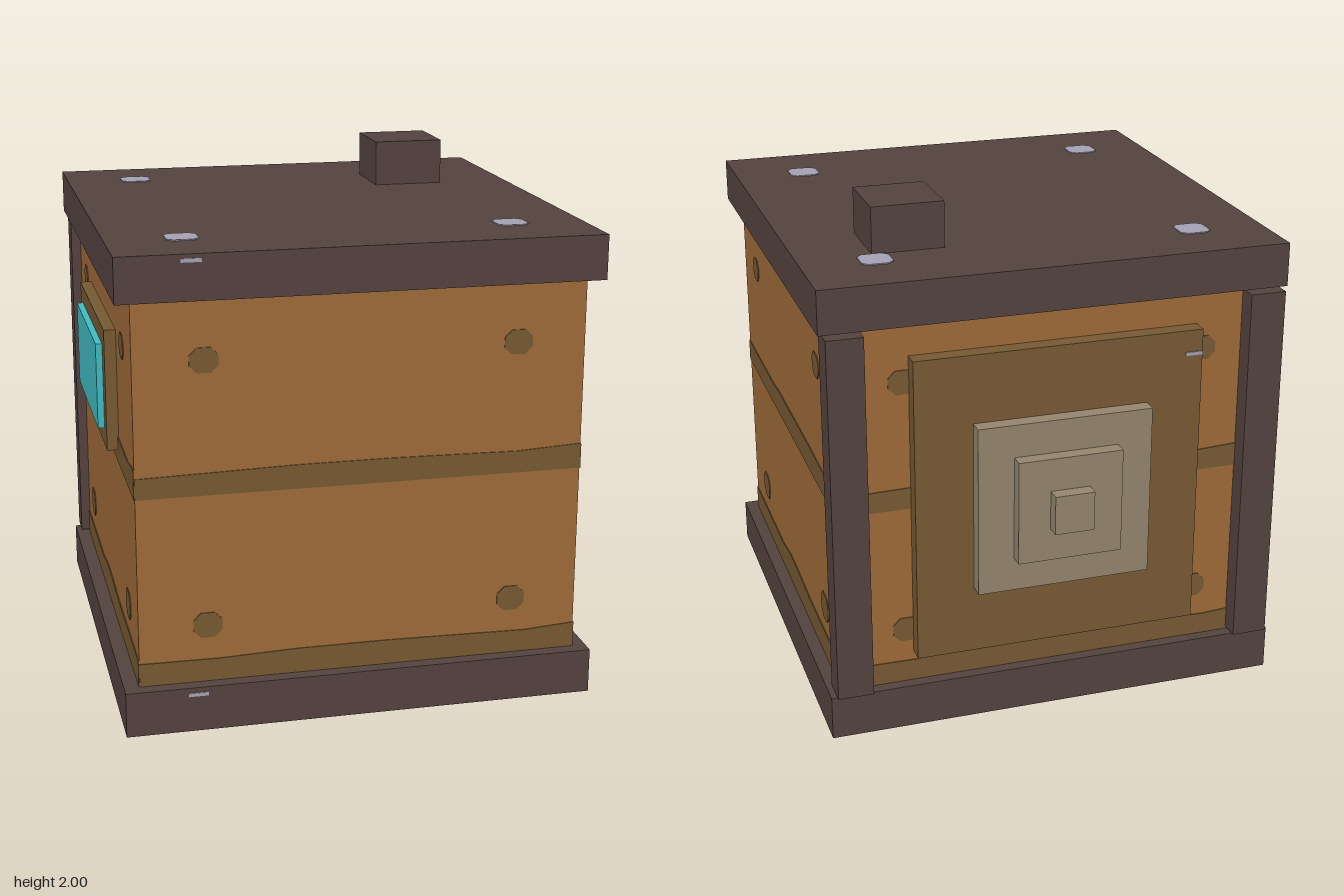
import * as THREE from 'three';

const mat = (name, color) => Object.assign(new THREE.MeshStandardMaterial({ color }), { name });

export function createModel() {
  const wood = mat('wood', 0x9f6b3a);
  const darkWood = mat('dark wood', 0x775a33);
  const frame = mat('dark brown frame', 0x54433f);
  const stone = mat('stone', 0x94866e);
  const metal = mat('pale metal', 0xa5a1b3);
  const glass = mat('cyan glass', 0x3fbcc2);

  const model = new THREE.Group();
  model.name = 'crate';

  // Box given by its lower and upper corners
  const box = (name, m, [x0, y0, z0], [x1, y1, z1], parent = model) => {
    const mesh = new THREE.Mesh(new THREE.BoxGeometry(x1 - x0, y1 - y0, z1 - z0), m);
    mesh.position.set((x0 + x1) / 2, (y0 + y1) / 2, (z0 + z1) / 2);
    mesh.name = name;
    parent.add(mesh);
    return mesh;
  };

  // Thin painted plate from an outline in the wall's own plane
  const plate = (name, m, points, parent) => {
    const shape = new THREE.Shape(points.map(([x, y]) => new THREE.Vector2(x, y)));
    const mesh = new THREE.Mesh(
      new THREE.ExtrudeGeometry(shape, { depth: 0.004, bevelEnabled: false }), m);
    mesh.name = name;
    parent.add(mesh);
    return mesh;
  };

  // Square with cut corners
  const spot = (x, y, w, h, c = 0.028) => [
    [x - w + c, y - h], [x + w - c, y - h], [x + w, y - h + c], [x + w, y + h - c],
    [x + w - c, y + h], [x - w + c, y + h], [x - w, y + h - c], [x - w, y - h + c],
  ];

  // Body and slabs
  box('body', wood, [-0.845, 0.17, -0.765], [0.855, 1.66, 0.945]);
  box('baseSlab', frame, [-0.905, 0, -0.815], [0.91, 0.175, 1]);
  box('topSlab', frame, [-0.905, 1.65, -0.815], [0.91, 1.82, 1]);
  box('chimney', frame, [0.345, 1.82, -0.475], [0.625, 2, -0.195]);

  // Rear corner posts
  box('rightPost', frame, [-0.885, 0.185, -0.845], [-0.745, 1.64, -0.73]);
  box('leftPost', frame, [0.75, 0.185, -0.845], [0.89, 1.64, -0.73]);

  // Bands and spots on each wall: front, left, back, right
  const reach = [0.855, 0.85, 0.855, 0.85];
  for (let i = 0; i < 4; i++) {
    const wall = new THREE.Group();
    wall.name = ['frontWall', 'leftWall', 'backWall', 'rightWall'][i] + 'Paint';
    wall.position.set(0.005, 0, 0.09);
    wall.rotation.y = i * Math.PI / 2;
    model.add(wall);
    const side = i % 2;
    const e = side ? 0.855 : 0.85;
    const paint = new THREE.Group();
    paint.name = 'paint';
    paint.position.z = reach[i];
    wall.add(paint);

    const low = side
      ? [[e, 0.28], [0.3, 0.28], [0.03, 0.295], [-0.1, 0.295], [-0.25, 0.275], [-e, 0.275]]
      : [[e, 0.275], [0.65, 0.262], [0.1, 0.272], [-0.25, 0.272], [-0.55, 0.262], [-e, 0.265]];
    const mid = side
      ? [[e, 1.025], [0.78, 1.02], [0.7, 1.005], [0.4, 1.012], [-0.2, 1.012], [-0.3, 1.003], [-e, 1.003]]
      : [[e, 1.008], [0.6, 0.995], [0.1, 1.003], [-0.25, 1.003], [-0.6, 0.995], [-e, 0.99]];
    plate('lowerBand', darkWood, [[-e, 0.172], [e, 0.172], ...low], paint);
    plate('middleBand', darkWood, [[-e, 0.91], [e, 0.91], ...mid], paint);
    for (const x of [-0.59, 0.59]) {
      plate('upperSpot', darkWood, spot(x, 1.42, 0.054, 0.047), paint);
      plate('lowerSpot', darkWood, spot(x, 0.4, side ? 0.06 : 0.054, side ? 0.055 : 0.049), paint);
    }
    // Upright stain at the rear edge of the left wall
    if (i === 1) {
      plate('rearStain', darkWood, [[0.74, 0.28], [e, 0.28], [e, 0.81], [0.76, 0.81],
        [0.75, 0.78], [0.755, 0.65], [0.768, 0.52], [0.765, 0.38], [0.755, 0.29]], paint);
    }
  }

  // Bolts on the top and smaller ones underneath
  for (const x of [-0.622, 0.628]) {
    for (const z of [-0.54, 0.71]) {
      const top = plate('topBolt', metal, spot(0, 0, 0.06, 0.06, 0.022), model);
      top.rotation.x = -Math.PI / 2;
      top.position.set(x, 1.82, z);
      const under = plate('undersideBolt', metal, spot(0, 0, 0.036, 0.034, 0.016), model);
      under.rotation.x = Math.PI / 2;
      under.position.set(x, 0, z);
    }
  }

  // Small glints on the slab edges and the back panel
  for (const y of [0.14, 1.79]) {
    box('slabGlint', metal, [-0.67, y, 0.998], [-0.595, y + 0.014, 1.002]);
  }
  box('panelGlint', metal, [-0.56, 1.42, -0.834], [-0.49, 1.434, -0.828]);

  // Stepped panel on the back
  box('backPanel', darkWood, [-0.56, 0.3, -0.83], [0.57, 1.52, -0.76]);
  box('outerStep', stone, [-0.34, 0.57, -0.89], [0.345, 1.25, -0.82]);
  box('middleStep', stone, [-0.205, 0.705, -0.945], [0.205, 1.12, -0.88]);
  box('innerStep', stone, [-0.075, 0.835, -1], [0.08, 0.99, -0.94]);

  // Window on the right wall
  box('windowFrame', darkWood, [-0.89, 0.96, -0.33], [-0.84, 1.435, 0.5]);
  box('windowPane', glass, [-0.915, 1.03, -0.25], [-0.88, 1.365, 0.43]);

  return model;
}
